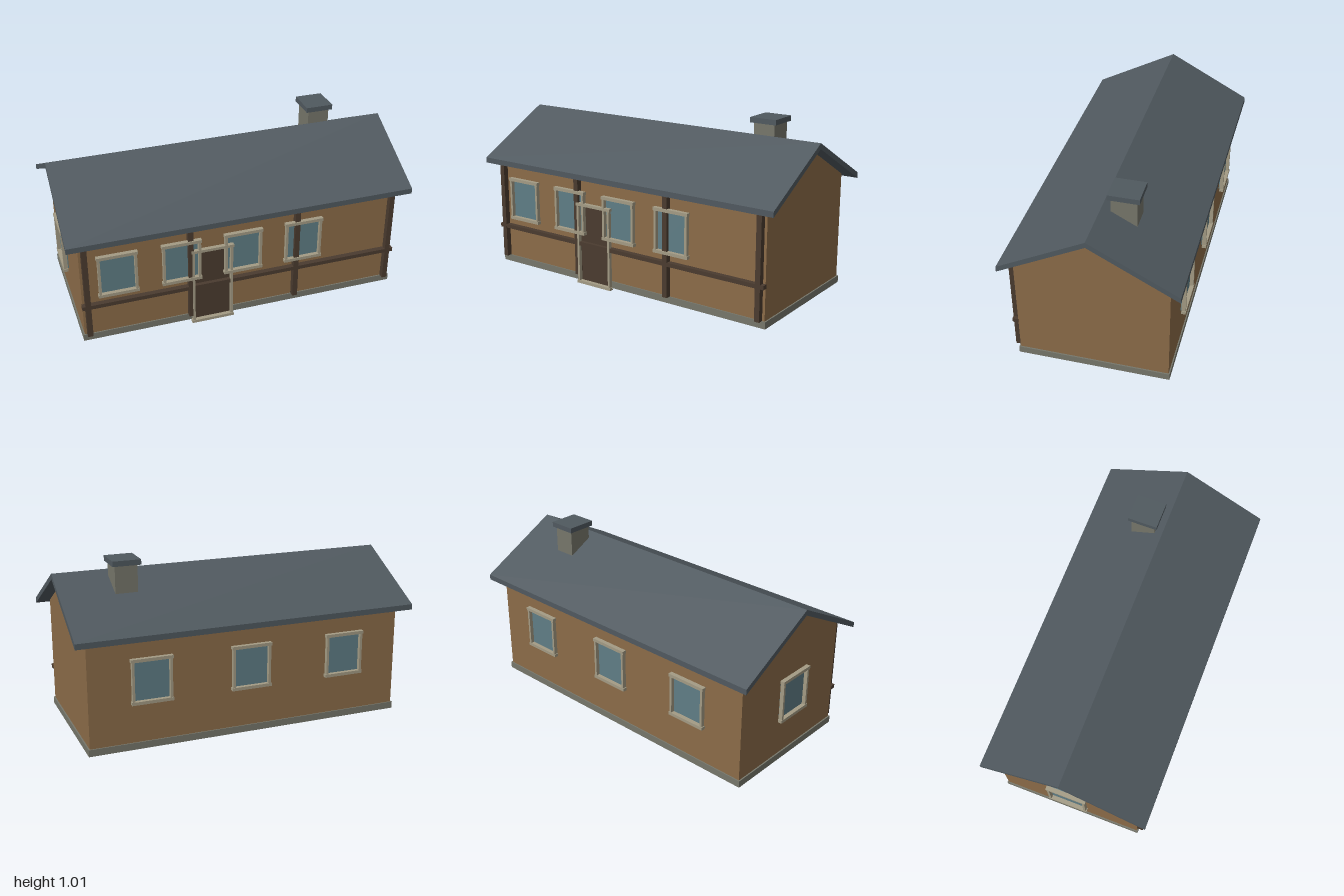
import * as THREE from 'three';

const mat = (name, color) => {
  const m = new THREE.MeshStandardMaterial({ color });
  m.name = name;
  return m;
};

export function createModel() {
  const house = new THREE.Group();
  house.name = 'house';
  const wallBrown = mat('wallBrown', 0x8b6b48);
  const slate = mat('slate', 0x50595f);
  const timber = mat('timber', 0x4a3b2f);
  const stone = mat('stone', 0x76766a);
  const trim = mat('trim', 0xa39b84);
  const glass = mat('glass', 0x5f7d85);

  const add = (parent, name, geometry, material) => {
    const mesh = new THREE.Mesh(geometry, material);
    mesh.name = name;
    parent.add(mesh);
    return mesh;
  };
  // box given by its minimum and maximum on each axis
  const box = (parent, name, material, [x0, x1], [y0, y1], [z0, z1]) => {
    const mesh = add(parent, name, new THREE.BoxGeometry(x1 - x0, y1 - y0, z1 - z0), material);
    mesh.position.set((x0 + x1) / 2, (y0 + y1) / 2, (z0 + z1) / 2);
    return mesh;
  };
  // (z, y) profile extruded along x
  const prism = (name, points, length, material) => {
    const shape = new THREE.Shape(points.map(([z, y]) => new THREE.Vector2(z, y)));
    const g = new THREE.ExtrudeGeometry(shape, { depth: length, bevelEnabled: false });
    g.translate(0, 0, -length / 2).rotateY(Math.PI / 2);
    return add(house, name, g, material);
  };

  // body and roof
  box(house, 'foundation', stone, [-0.938, 0.938], [0.008, 0.048], [-0.427, 0.427]);
  prism('walls', [[-0.42, 0.011], [0.42, 0.011], [0.42, 0.665], [0, 0.89], [-0.42, 0.665]], 1.86, wallBrown);
  prism('roof', [[-0.486, 0.636], [0, 0.893], [0.486, 0.636], [0.486, 0.668], [0, 0.925], [-0.486, 0.668]], 2, slate);

  // chimney
  box(house, 'chimney', stone, [0.567, 0.695], [0.78, 0.98], [-0.187, -0.046]);
  box(house, 'chimneyCap', slate, [0.55, 0.711], [0.98, 1.01], [-0.203, -0.03]);

  // timber framing on the front
  for (const x of [-0.902, -0.315, 0.315, 0.9]) {
    box(house, 'post', timber, [x - 0.015, x + 0.015], [0.048, 0.664], [0.42, 0.452]);
  }
  box(house, 'rail', timber, [-0.935, 0.935], [0.231, 0.254], [0.42, 0.451]);

  // door with its frame
  const door = new THREE.Group();
  door.name = 'door';
  house.add(door);
  box(door, 'doorPanel', timber, [-0.298, -0.082], [0.012, 0.477], [0.42, 0.4285]);
  for (const x of [-0.302, -0.078]) {
    box(door, 'doorJamb', trim, [x - 0.007, x + 0.007], [0.005, 0.48], [0.433, 0.454]);
  }
  box(door, 'doorLintel', trim, [-0.314, -0.066], [0.473, 0.489], [0.433, 0.457]);
  box(door, 'doorSill', trim, [-0.314, -0.066], [0, 0.017], [0.433, 0.457]);

  // windows, built facing +z with the wall plane at z = 0
  const addWindow = (name, x, y, z, turn, w) => {
    const win = new THREE.Group();
    win.name = name;
    const h = 0.24, r = w / 2;
    box(win, 'pane', glass, [-r + 0.005, r - 0.005], [-0.115, 0.115], [0.007, 0.014]);
    for (const s of [-1, 1]) {
      const bx = s * (r - 0.004), by = s * h / 2;
      box(win, 'frameSide', trim, [bx - 0.007, bx + 0.007], [-h / 2, h / 2], [0.013, 0.036]);
      box(win, 'frameBar', trim, [-r - 0.008, r + 0.008], [by - 0.009, by + 0.009], [0.013, 0.038]);
    }
    win.position.set(x, y, z);
    win.rotation.y = turn;
    house.add(win);
  };
  for (const x of [-0.727, -0.367, -0.009, 0.353]) addWindow('frontWindow', x, 0.428, 0.42, 0, 0.212);
  for (const x of [-0.58, 0, 0.58]) addWindow('backWindow', x, 0.405, -0.42, Math.PI, 0.222);
  addWindow('sideWindow', -0.934, 0.405, 0, -Math.PI / 2, 0.222);

  return house;
}
